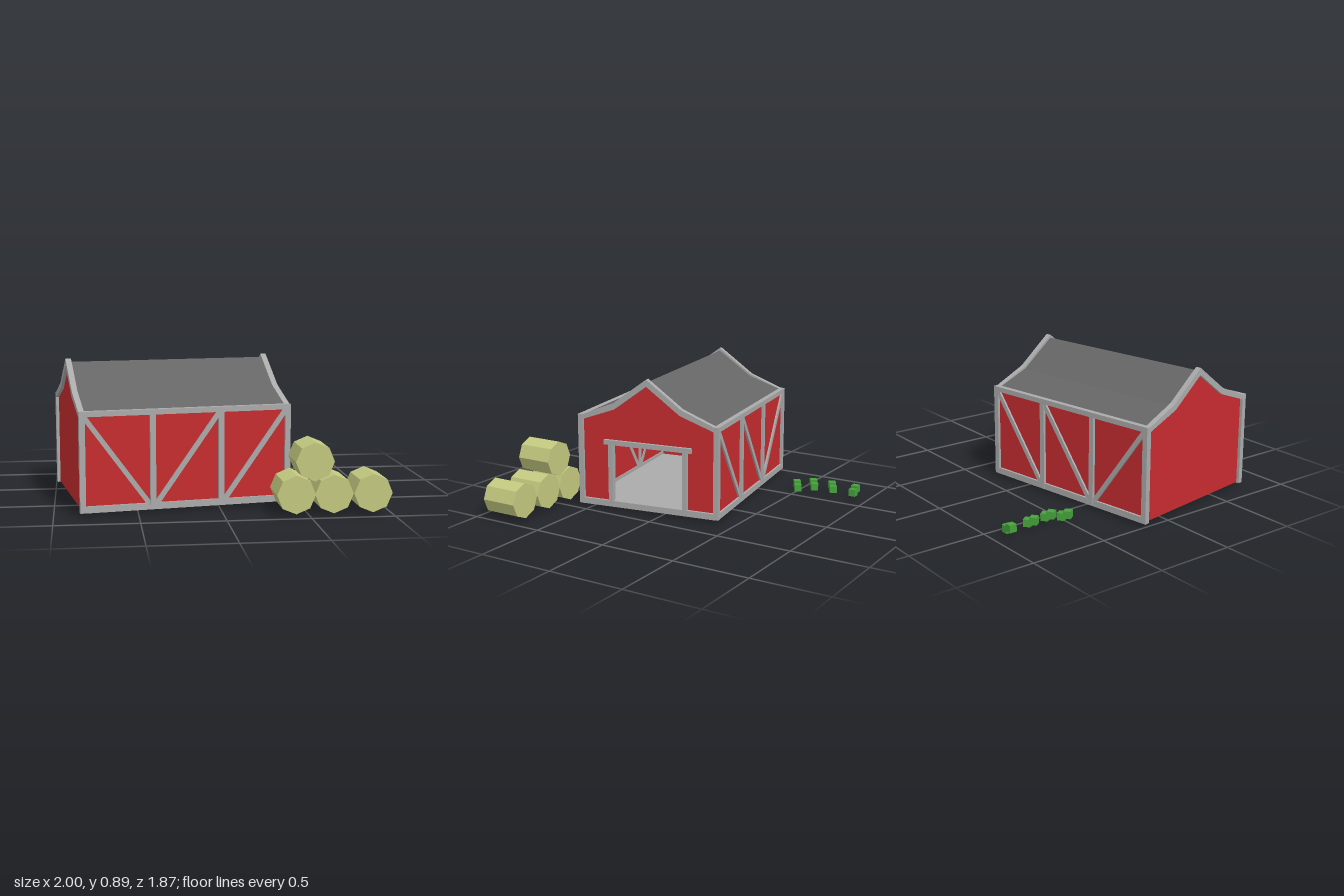
import * as THREE from 'three';

const mat = (color) => new THREE.MeshStandardMaterial({ color, flatShading: true, side: THREE.DoubleSide });
const red = mat(0xc62b2f), trim = mat(0xaaaaaa), slate = mat(0x666666), straw = mat(0xc3c97f), green = mat(0x46a33c);

// Barn half sizes (outside of the trim) and trim width
const HX = 0.653, HZ = 0.494, T = 0.035, BASE = 0.015, EAVE = 0.62;

function add(parent, name, geometry, material, x = 0, y = 0, z = 0) {
  const mesh = new THREE.Mesh(geometry, material);
  mesh.name = name;
  mesh.position.set(x, y, z);
  parent.add(mesh);
  return mesh;
}

const box = (parent, name, material, w, h, d, x, y, z) =>
  add(parent, name, new THREE.BoxGeometry(w, h, d), material, x, y, z);

// Closed symmetric outline from half profiles of [z, y] points, ridge last
const mirrorZ = (half) => [...half, ...half.slice(0, -1).reverse().map(([z, y]) => [-z, y])];
const toShape = (points) => new THREE.Shape(points.map(([z, y]) => new THREE.Vector2(z, y)));

// Extrude a (z, y) shape along x, centred on x = 0
function extrudeX(shape, length) {
  return new THREE.ExtrudeGeometry(shape, { depth: length, bevelEnabled: false })
    .translate(0, 0, -length / 2)
    .rotateY(-Math.PI / 2)
    .scale(1, 1, 1);
}

// Band between an upper and a lower half profile
const band = (upper, lower) => toShape([...mirrorZ(upper), ...mirrorZ(lower).reverse()]);

function buildBarn() {
  const barn = new THREE.Group();
  barn.name = 'barn';
  const wallZ = HZ - 0.022, wallX = HX - 0.024;

  box(barn, 'floor', trim, 2 * wallX, 0.012, 2 * wallZ, 0, 0.026, 0);

  // Gable walls; the right one has an open doorway
  const gable = [[wallZ, 0.02], [wallZ, 0.598], [0.238, 0.69], [0, 0.86]];
  for (const side of [-1, 1]) {
    const shape = toShape(mirrorZ(gable));
    if (side > 0) {
      shape.holes.push(new THREE.Path([[-0.262, 0.035], [0.262, 0.035], [0.262, 0.45], [-0.262, 0.45]]
        .map(([z, y]) => new THREE.Vector2(z, y))));
    }
    add(barn, side > 0 ? 'doorGable' : 'plainGable', extrudeX(shape, 0.01), red, side * wallX);
  }

  // Roof with a shallow lower and a steep upper slope
  const roof = band(
    [[0.475, 0.612], [0.24, 0.695], [0, 0.866]],
    [[0.475, 0.6], [0.237, 0.683], [0, 0.852]]);
  add(barn, 'roof', extrudeX(roof, 2 * HX - 2 * T + 0.02), slate);

  // Raised trim along both gable edges
  const verge = band(
    [[HZ, EAVE], [0.462, EAVE], [0.24, 0.71], [0, 0.886]],
    [[HZ, 0.588], [0.462, 0.588], [0.23, 0.672], [0, 0.84]]);
  for (const side of [-1, 1]) add(barn, 'gableTrim', extrudeX(verge, T), trim, side * (HX - T / 2));

  // Long walls: panel, rails, posts and diagonal braces
  const bay = (2 * HX - T) / 3;
  for (const side of [-1, 1]) {
    const z = side * (HZ - T / 2);
    box(barn, 'longWall', red, 2 * wallX, 0.585, 0.01, 0, 0.312, side * wallZ);
    box(barn, 'eaveRail', trim, 2 * HX - T, 0.032, T, 0, EAVE - 0.016, z);
    box(barn, 'baseRail', trim, 2 * HX - T, 0.04, T - 0.004, 0, BASE + 0.02, z);
    for (let i = 0; i < 4; i++) {
      box(barn, 'post', trim, T, EAVE - BASE - 0.002, T, (i - 1.5) * bay, (EAVE + BASE) / 2, z);
    }
    [-1, 1, 1].forEach((lean, i) => {
      const w = bay - 0.025, h = 0.55;
      const brace = box(barn, 'brace', trim, Math.hypot(w, h), 0.03, T - 0.008, (i - 1) * bay, 0.312, z);
      brace.rotation.z = lean * Math.atan2(h, w);
    });
  }

  // Door frame and sill
  const frameX = HX - T / 2;
  box(barn, 'doorSill', trim, T, 0.04, 2 * HZ - T, frameX, BASE + 0.02, 0);
  for (const side of [-1, 1]) box(barn, 'doorPost', trim, T, 0.42, 0.032, frameX, 0.225, side * 0.262);
  box(barn, 'doorHeader', trim, T + 0.004, 0.032, 0.615, frameX, 0.45, 0);

  barn.position.set(-0.275, 0, 0.205);
  barn.rotation.y = 0.157;
  return barn;
}

// Stack of eight-sided round bales lying along z
function buildBales() {
  const bales = new THREE.Group();
  bales.name = 'hayBales';
  for (const [x, y] of [[0.42, 0.127], [0.647, 0.127], [0.883, 0.127], [0.53, 0.322]]) {
    const geometry = new THREE.CylinderGeometry(0.116, 0.116, 0.244, 8).rotateX(Math.PI / 2);
    add(bales, 'hayBale', geometry, straw, x, y, 0.812);
  }
  return bales;
}

// Row of small plants, each two overlapping cubes
function buildPlants() {
  const plants = new THREE.Group();
  plants.name = 'plants';
  const spots = [[-0.615, 0.032, -0.49, 0.6], [-0.615, 0.061, -0.615, 0.6],
    [-0.626, 0.061, -0.75, 0.6], [-0.631, 0.061, -0.908, 0]];
  for (const [x, y, z, turn] of spots) {
    const plant = new THREE.Group();
    plant.name = 'plant';
    for (const s of [-1, 1]) box(plant, 'leaf', green, 0.047, 0.047, 0.047, s * 0.019, -s * 0.0085, 0);
    plant.position.set(x, y, z);
    plant.rotation.y = turn;
    plants.add(plant);
  }
  return plants;
}

export function createModel() {
  const model = new THREE.Group();
  model.name = 'farmBarn';
  model.add(buildBarn(), buildBales(), buildPlants());
  return model;
}
